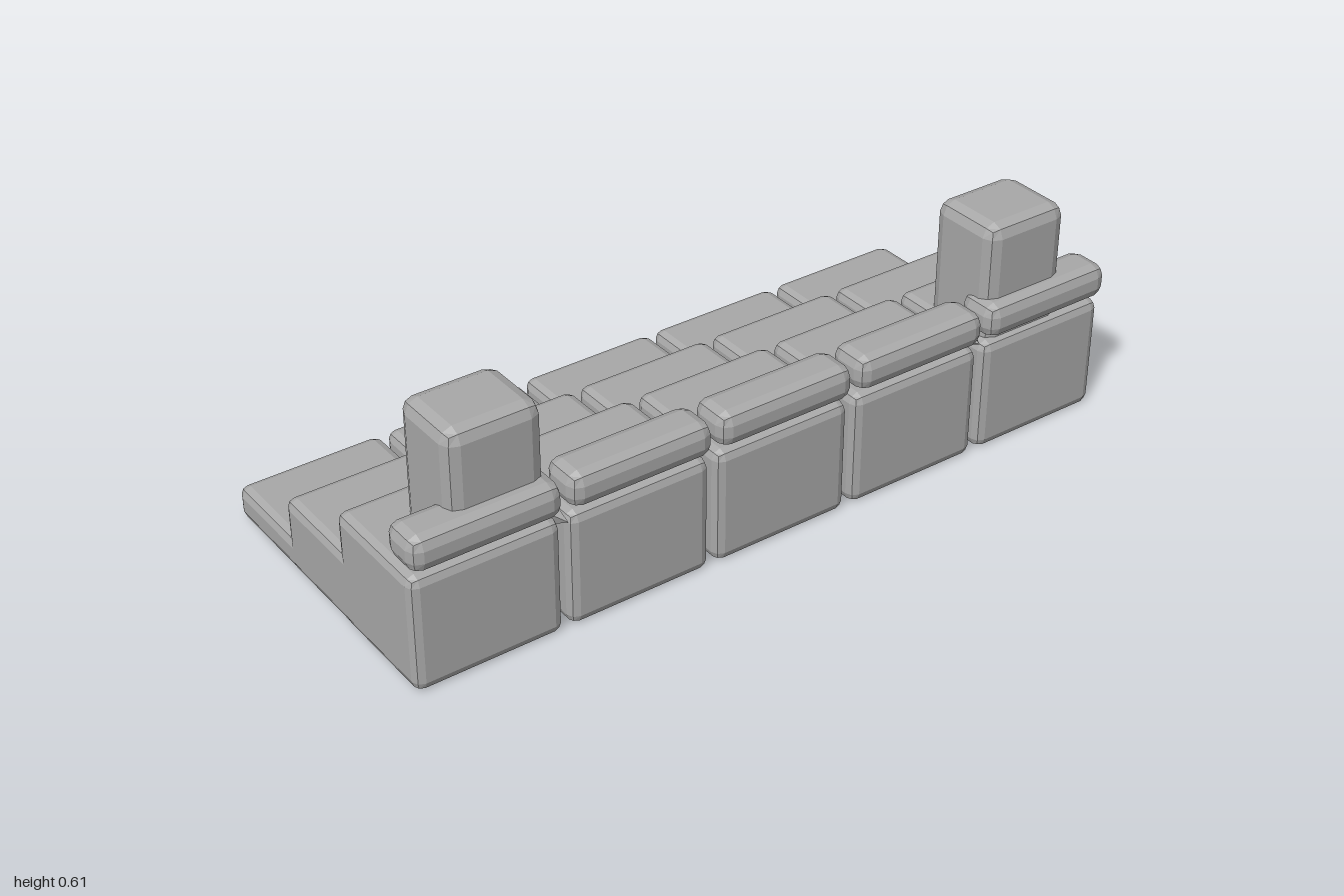
import * as THREE from 'three';
import { RoundedBoxGeometry } from 'three/addons/geometries/RoundedBoxGeometry.js';

export function createModel() {
  const model = new THREE.Group();
  const stone = new THREE.MeshStandardMaterial({ color: 0xa8a8a8 });
  stone.name = 'grey stone';
  stone.flatShading = true;

  // Bevelled block given by its limits on each axis
  function block(parent, name, [x0, x1], [y0, y1], [z0, z1], bevel) {
    const geo = new RoundedBoxGeometry(x1 - x0, y1 - y0, z1 - z0, 1, bevel);
    const mesh = new THREE.Mesh(geo, stone);
    mesh.name = name;
    mesh.position.set((x0 + x1) / 2, (y0 + y1) / 2, (z0 + z1) / 2);
    parent.add(mesh);
  }

  // Five identical stepped sections, each with a length of rail
  const pitch = 0.403, half = 0.192;
  for (let i = -2; i <= 2; i++) {
    const section = new THREE.Group();
    section.name = 'steppedSection';
    const z = [i * pitch - half, i * pitch + half];
    block(section, 'lowStep', [-0.423, -0.11], [0.003, 0.09], z, 0.024);
    block(section, 'middleStep', [-0.173, 0.14], [0.002, 0.197], z, 0.024);
    block(section, 'topStep', [0.079, 0.404], [0, 0.305], z, 0.024);
    block(section, 'rail', [0.304, 0.422], [0.323, 0.413], z, 0.03);
    model.add(section);
  }

  // Pillars on the two end sections
  block(model, 'frontPillar', [0.17, 0.376], [0.27, 0.608], [0.63, 0.874], 0.034);
  block(model, 'backPillar', [0.175, 0.384], [0.27, 0.608], [-0.876, -0.633], 0.034);

  // Small stones: x, y, z, then half sizes
  const chips = [
    [0.34, 0.312, 0.37, 0.04, 0.018, 0.03],
    [0.34, 0.312, 0.13, 0.04, 0.018, 0.03],
    [0.34, 0.312, -0.13, 0.04, 0.018, 0.03],
    [0.34, 0.312, -0.385, 0.04, 0.018, 0.03],
    [0.35, 0.31, -0.61, 0.045, 0.025, 0.02],
    [0.32, 0.29, 0.603, 0.08, 0.05, 0.018],
    [0.13, 0.19, -0.202, 0.12, 0.05, 0.012],
  ];
  chips.forEach(([x, y, z, a, b, c], i) => {
    const chip = new THREE.Mesh(new THREE.OctahedronGeometry(1, 0), stone);
    chip.name = 'stoneChip';
    chip.position.set(x, y, z);
    chip.scale.set(a, b, c);
    chip.rotation.y = i % 2 ? 0.1 : -0.1;
    model.add(chip);
  });

  return model;
}
